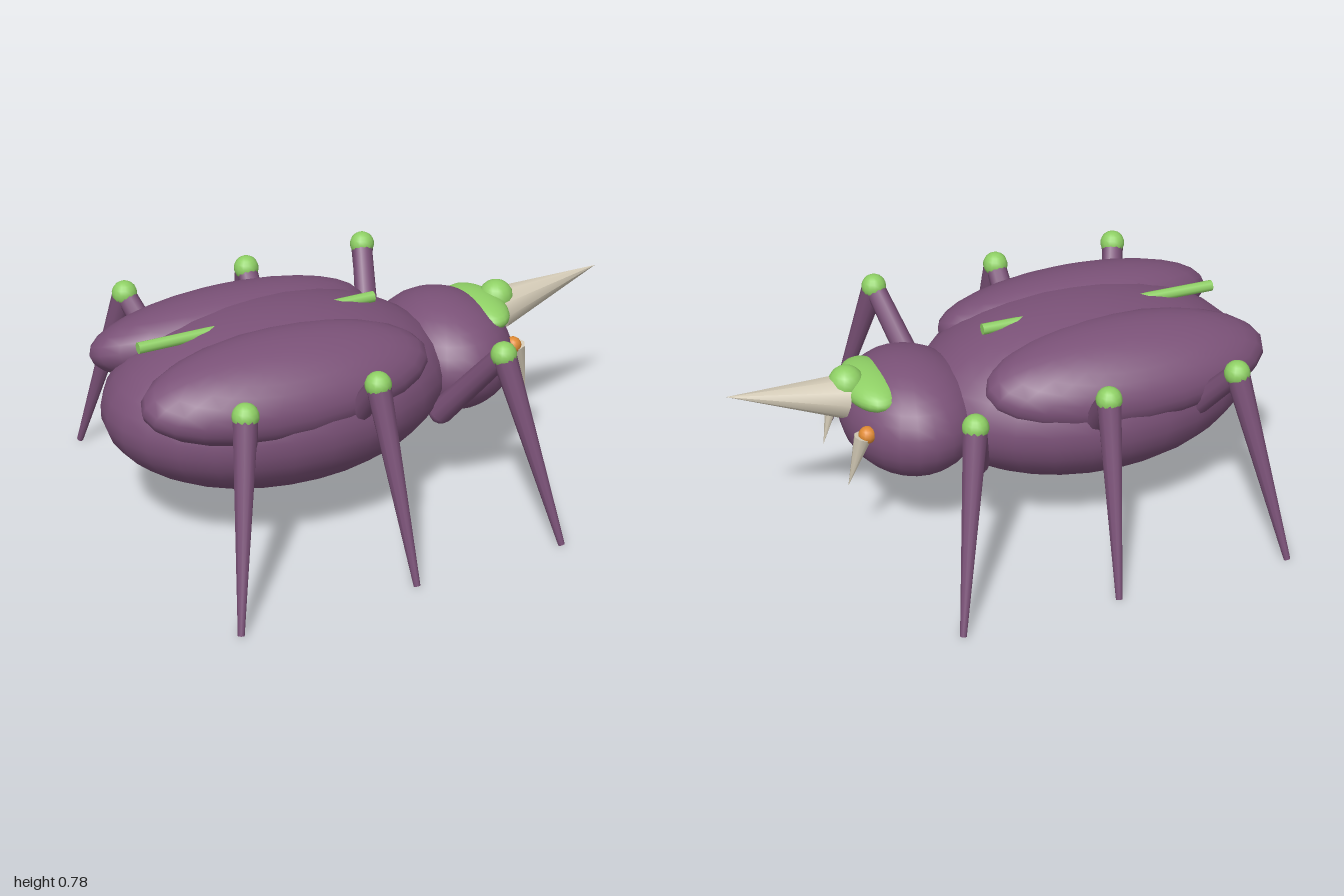
import * as THREE from 'three';

const mat = (name, color) => {
  const m = new THREE.MeshStandardMaterial({ color });
  m.name = name;
  return m;
};

export function createModel() {
  const shell = mat('purple shell', 0x7a5177);
  const accent = mat('green accent', 0x8fd065);
  const bone = mat('bone', 0xd3cab6);
  const amber = mat('orange', 0xdf8a33);

  const beetle = new THREE.Group();
  beetle.name = 'hornedBeetle';

  const add = (name, geometry, material) => {
    const mesh = new THREE.Mesh(geometry, material);
    mesh.name = name;
    beetle.add(mesh);
    return mesh;
  };

  // Ellipsoid with its three radii
  const blob = (name, material, pos, radii, seg = 24) => {
    const mesh = add(name, new THREE.SphereGeometry(1, seg, Math.round(seg * 0.67)), material);
    mesh.position.set(...pos);
    mesh.scale.set(...radii);
    return mesh;
  };

  // Tapered rod from a to b
  const up = new THREE.Vector3(0, 1, 0);
  const rod = (name, material, a, b, rA, rB, sides = 10) => {
    const start = new THREE.Vector3(...a);
    const end = new THREE.Vector3(...b);
    const dir = end.clone().sub(start);
    const mesh = add(name, new THREE.CylinderGeometry(rB, rA, dir.length(), sides), material);
    mesh.position.copy(start).add(end).multiplyScalar(0.5);
    mesh.quaternion.setFromUnitVectors(up, dir.normalize());
    return mesh;
  };

  // Body, head and back ridge (the ridge sinks into the back halfway)
  blob('abdomen', shell, [-0.35, 0.475, 0], [0.65, 0.31, 0.465], 28);
  blob('head', shell, [0.325, 0.475, 0], [0.25, 0.215, 0.31]);
  rod('backRidge', accent, [-0.87, 0.743, 0], [0.04, 0.743, 0], 0.021, 0.021, 8);

  // Brow plate and horn
  blob('brow', accent, [0.47, 0.61, 0], [0.1, 0.06, 0.18]);
  blob('hornBase', accent, [0.555, 0.633, 0], [0.065, 0.065, 0.065], 16);
  rod('horn', bone, [0.565, 0.582, 0], [0.99, 0.67, 0], 0.082, 0, 10);

  // Knee x, hip x and foot x for each pair of legs
  const legs = [
    ['rear', -0.71, -0.6, -0.845],
    ['middle', -0.22, -0.235, -0.182],
    ['front', 0.27, 0.17, 0.402],
  ];

  for (const side of [1, -1]) {
    const s = side > 0 ? 'Left' : 'Right';

    // Wing case, tilted so its inner edge rides higher
    const wing = blob('wingCase' + s, shell, [-0.42, 0.622, side * 0.245], [0.54, 0.155, 0.225]);
    wing.rotation.x = side * 0.35;

    // Fang with its socket
    blob('fangSocket' + s, amber, [0.535, 0.508, side * 0.165], [0.032, 0.032, 0.032], 12);
    rod('fang' + s, bone, [0.552, 0.505, side * 0.165], [0.607, 0.3, side * 0.147], 0.032, 0, 8);

    for (const [name, kneeX, hipX, footX] of legs) {
      const hip = [hipX, 0.375, side * 0.28];
      const knee = [kneeX, 0.695, side * 0.535];
      const foot = [footX, 0.008, side * 0.755];
      blob(name + 'Hip' + s, shell, hip, [0.045, 0.045, 0.045], 12);
      rod(name + 'UpperLeg' + s, shell, hip, knee, 0.046, 0.038);
      blob(name + 'Knee' + s, accent, knee, [0.047, 0.047, 0.047], 14);
      rod(name + 'LowerLeg' + s, shell, knee, foot, 0.044, 0.012);
    }
  }

  return beetle;
}
